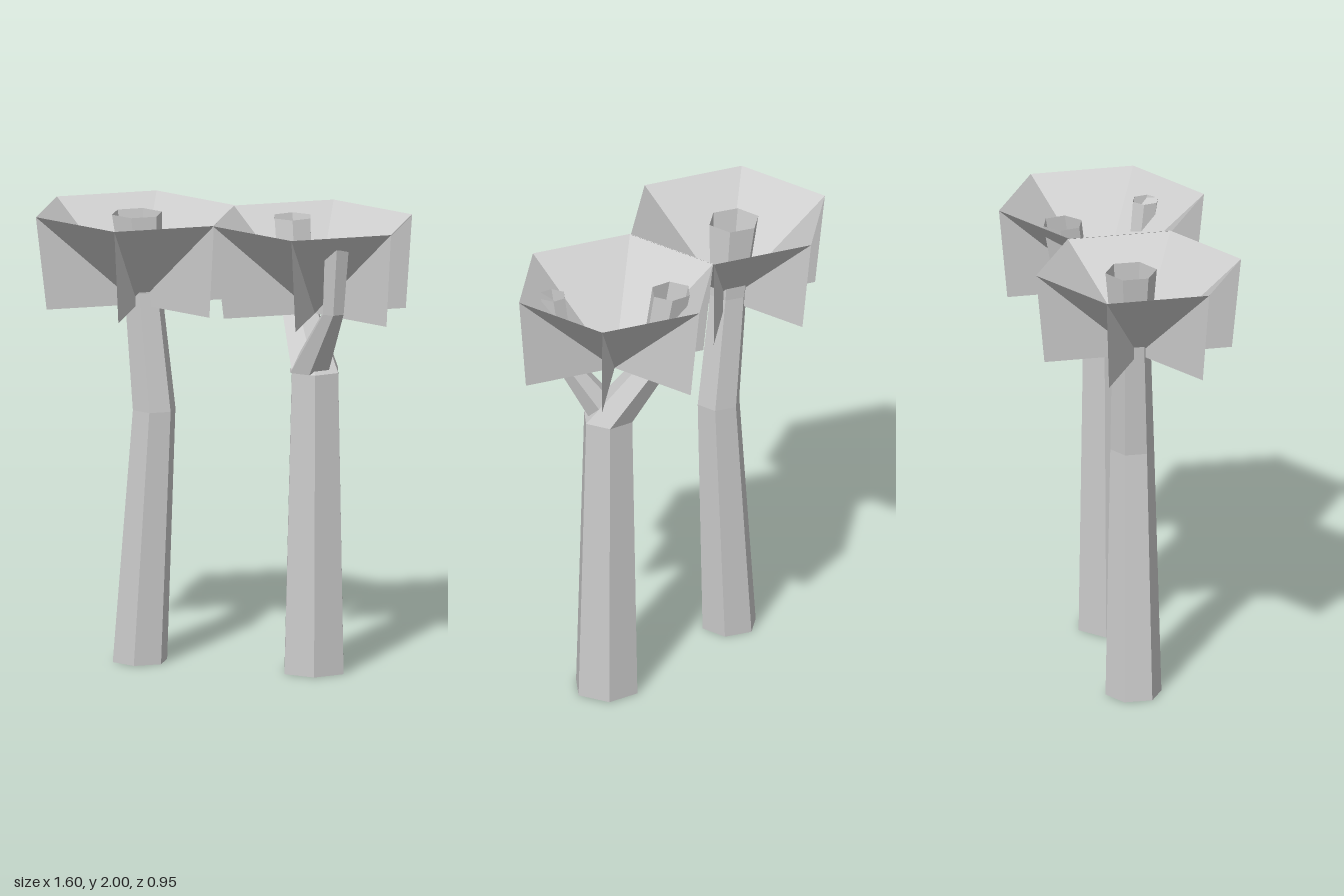
import * as THREE from 'three';

const material = new THREE.MeshStandardMaterial({
  color: 0xcccccc, flatShading: true, side: THREE.DoubleSide,
});

function meshFrom(name, points, index) {
  const indexed = new THREE.BufferGeometry().setFromPoints(points);
  indexed.setIndex(index);
  const geometry = indexed.toNonIndexed();
  geometry.computeVertexNormals();
  const mesh = new THREE.Mesh(geometry, material);
  mesh.name = name;
  return mesh;
}

// Open six-sided tube through level rings given as [x, y, z, radius]
function limb(name, rings, turn) {
  const points = [], index = [];
  rings.forEach(([x, y, z, r], j) => {
    for (let k = 0; k < 6; k++) {
      const a = turn + k * Math.PI / 3;
      points.push(new THREE.Vector3(x + r * Math.sin(a), y, z + r * Math.cos(a)));
      if (j === 0) continue;
      const n = (k + 1) % 6, lo = (j - 1) * 6, hi = j * 6;
      index.push(lo + k, lo + n, hi + n, lo + k, hi + n, hi + k);
    }
  });
  return meshFrom(name, points, index);
}

// Six-sided leaf funnel with a hanging triangular fin under every rib
function canopy(name, cx, cz) {
  const radius = 0.456, turn = 0.055;
  const tilt = (x, y) => y - 0.008 * x;
  const points = [new THREE.Vector3(cx + 0.01, tilt(cx, 1.58), cz)];
  for (let k = 0; k < 6; k++) {
    const a = turn + k * Math.PI / 3;
    const dx = radius * Math.sin(a), dz = radius * Math.cos(a);
    points.push(
      new THREE.Vector3(cx + dx, tilt(cx + dx, 1.992), cz + dz),
      new THREE.Vector3(cx + 0.01 + dx * 0.914, tilt(cx + dx, 1.58), cz + dz * 0.914),
    );
  }
  const funnel = [], fins = [];
  for (let k = 0; k < 6; k++) {
    const rim = 1 + 2 * k, next = 1 + 2 * ((k + 1) % 6);
    funnel.push(0, rim, next);
    fins.push(0, rim + 1, rim);
  }
  const group = new THREE.Group();
  group.name = name;
  group.add(meshFrom('leafFunnel', points, funnel), meshFrom('leafFins', points, fins));
  return group;
}

export function createModel() {
  const model = new THREE.Group();
  model.name = 'palmPair';

  // Bent single-stem palm
  const bent = new THREE.Group();
  bent.name = 'bentPalm';
  bent.add(
    limb('bentTrunk', [
      [-0.378, 0, -0.005, 0.124],
      [-0.313, 1.12, 0, 0.097],
      [-0.365, 1.64, -0.012, 0.085],
      [-0.395, 1.98, -0.018, 0.114],
    ], 0.04),
    canopy('bentPalmCanopy', -0.393, 0.015),
  );

  // Forked palm: one trunk, two branches
  const forked = new THREE.Group();
  forked.name = 'forkedPalm';
  const turn = 0.26;
  forked.add(
    limb('forkedTrunk', [[0.41, 0, 0.018, 0.148], [0.412, 1.33, 0.008, 0.116]], turn),
    limb('backBranch', [
      [0.412, 1.33, 0.008, 0.116],
      [0.28, 1.63, -0.165, 0.08],
      [0.252, 1.96, -0.215, 0.09],
    ], turn),
    limb('frontBranch', [
      [0.39, 1.33, 0.025, 0.095],
      [0.535, 1.62, 0.165, 0.052],
      [0.56, 1.92, 0.2, 0.06],
    ], turn),
    canopy('forkedPalmCanopy', 0.393, -0.021),
  );

  model.add(bent, forked);
  return model;
}
